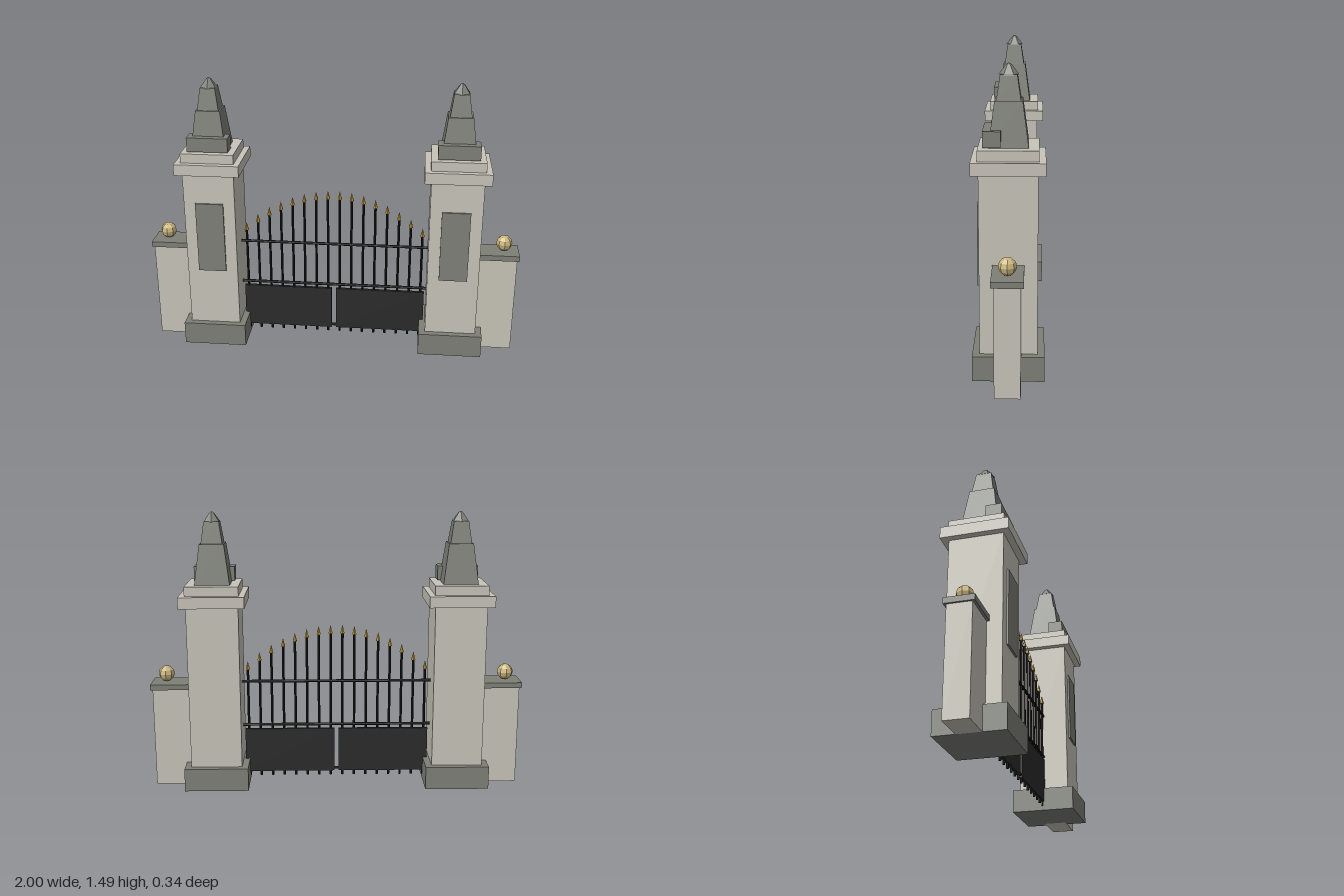
import * as THREE from 'three';

const material = (name, color) => {
  const m = new THREE.MeshStandardMaterial({ color });
  m.name = name;
  return m;
};

export function createModel() {
  const stone = material('pale stone', 0xc8c4b9);
  const slate = material('dark stone', 0x7e8078);
  const iron = material('black iron', 0x1b1b1d);
  const sheet = material('iron sheet', 0x2b2b2c);
  const gold = material('gilded iron', 0xb8912c);
  const sand = material('sandstone', 0xc9b57f);
  for (const m of [stone, slate, iron, sheet, gold, sand]) m.flatShading = true;

  const model = new THREE.Group();
  model.name = 'gateway';

  const add = (parent, name, geometry, mat, x, y, z = 0) => {
    const mesh = new THREE.Mesh(geometry, mat);
    mesh.name = name;
    mesh.position.set(x, y, z);
    parent.add(mesh);
    return mesh;
  };
  // Box standing between two heights
  const block = (parent, name, mat, x, y0, y1, w, d, z = 0) =>
    add(parent, name, new THREE.BoxGeometry(w, y1 - y0, d), mat, x, (y0 + y1) / 2, z);
  // Tapered square block given by its half widths
  const taper = (parent, name, mat, y0, y1, bottom, top) => {
    const g = new THREE.CylinderGeometry(top * Math.SQRT2, bottom * Math.SQRT2, y1 - y0, 4);
    g.rotateY(Math.PI / 4);
    return add(parent, name, g, mat, 0, (y0 + y1) / 2);
  };

  for (const side of [-1, 1]) {
    // Pillar with plinth, cornice and plaque
    const pillar = new THREE.Group();
    pillar.name = side > 0 ? 'leftPillar' : 'rightPillar';
    pillar.position.x = side * 0.65;
    model.add(pillar);
    block(pillar, 'plinth', slate, 0, 0, 0.125, 0.342, 0.342);
    block(pillar, 'shaft', stone, 0, 0.125, 1, 0.273, 0.273);
    block(pillar, 'cornice', stone, 0, 1, 1.06, 0.342, 0.342);
    block(pillar, 'upperCornice', stone, 0, 1.06, 1.11, 0.28, 0.28);
    block(pillar, 'plaque', slate, 0, 0.445, 0.835, 0.15, 0.02, 0.136);

    // Stepped obelisk on top
    taper(pillar, 'obeliskLower', slate, 1.11, 1.32, 0.092, 0.064);
    taper(pillar, 'obeliskUpper', slate, 1.32, 1.435, 0.056, 0.039);
    block(pillar, 'obeliskFrontBlock', slate, 0, 1.115, 1.19, 0.216, 0.083, 0.076);
    add(pillar, 'obeliskTip', new THREE.CylinderGeometry(0.013, 0.047, 0.045, 6), slate, 0, 1.4545);
    add(pillar, 'obeliskPoint', new THREE.ConeGeometry(0.013, 0.008, 6), slate, 0, 1.481);

    // Low side wall with coping and ball
    const wall = new THREE.Group();
    wall.name = side > 0 ? 'leftWall' : 'rightWall';
    model.add(wall);
    block(wall, 'wallBody', stone, side * 0.885, 0, 0.54, 0.21, 0.122);
    block(wall, 'coping', slate, side * 0.89, 0.54, 0.57, 0.22, 0.148);
    add(wall, 'ball', new THREE.SphereGeometry(0.043, 8, 6), sand, side * 0.92, 0.615);
  }

  // Gate: bars under a curved top line, each with a gilded spearhead
  const gate = new THREE.Group();
  gate.name = 'gate';
  model.add(gate);
  for (let i = 0; i < 16; i++) {
    const x = (i - 7.5) * 0.0642;
    const tip = 0.88 - 0.2 * (x / 0.4815) ** 2;
    const top = tip - 0.046;
    const bottom = 0.025;
    add(gate, 'bar', new THREE.CylinderGeometry(0.0068, 0.0068, top - bottom, 8), iron, x, (top + bottom) / 2);
    add(gate, 'spearhead', new THREE.ConeGeometry(0.0125, 0.046, 6), gold, x, tip - 0.023);
  }

  // Cross rails
  for (const y of [0.065, 0.32, 0.567]) {
    const g = new THREE.CylinderGeometry(0.008, 0.008, y < 0.1 ? 0.98 : 1.03, 8);
    g.rotateZ(Math.PI / 2);
    add(gate, 'rail', g, iron, 0, y);
  }

  // Sheet panels at the foot of both leaves
  for (const side of [-1, 1]) block(gate, 'footPanel', sheet, side * 0.257, 0.05, 0.296, 0.49, 0.0165);

  return model;
}
